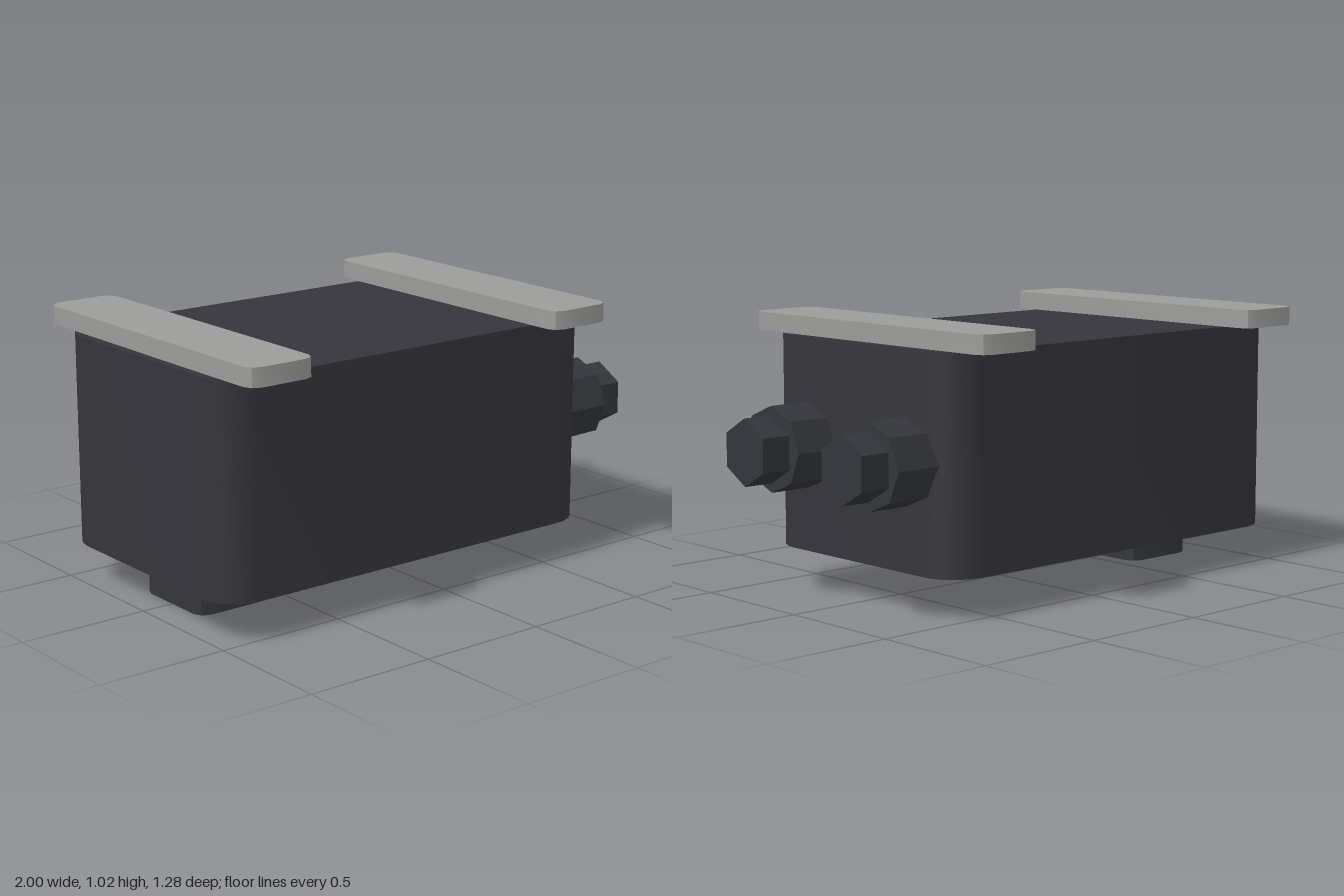
import * as THREE from 'three';
import { toCreasedNormals } from 'three/addons/utils/BufferGeometryUtils.js';

const mat = (name, color) => {
  const m = new THREE.MeshStandardMaterial({ color });
  m.name = name;
  return m;
};

// Upright block with rounded (or, with one segment, chamfered) vertical corners
function block(x0, x1, y0, y1, halfZ, r, segments) {
  const s = new THREE.Shape();
  s.moveTo(x0 + r, -halfZ);
  s.absarc(x1 - r, -halfZ + r, r, -Math.PI / 2, 0);
  s.absarc(x1 - r, halfZ - r, r, 0, Math.PI / 2);
  s.absarc(x0 + r, halfZ - r, r, Math.PI / 2, Math.PI);
  s.absarc(x0 + r, -halfZ + r, r, Math.PI, Math.PI * 1.5);
  const g = new THREE.ExtrudeGeometry(s, { depth: y1 - y0, bevelEnabled: false, curveSegments: segments });
  g.rotateX(-Math.PI / 2);
  g.translate(0, y0, 0);
  return toCreasedNormals(g, 0.6);
}

// Faceted prism along x with a corner pointing up
function prism(radius, sides, x0, x1) {
  const g = new THREE.CylinderGeometry(radius, radius, x1 - x0, sides, 1, false, Math.PI / 2);
  g.rotateZ(-Math.PI / 2);
  g.translate((x0 + x1) / 2, 0, 0);
  return toCreasedNormals(g, 0.3);
}

export function createModel() {
  const model = new THREE.Group();
  model.name = 'junctionBox';
  const dark = mat('dark housing', 0x36353b);
  const fitting = mat('dark fitting', 0x34363b);
  const grey = mat('grey bracket', 0x9c9c9a);

  const add = (parent, name, geometry, material) => {
    const mesh = new THREE.Mesh(geometry, material);
    mesh.name = name;
    parent.add(mesh);
  };

  // Housing and the chamfered plug beneath it
  add(model, 'housing', block(-1, 0.71, 0.15, 0.95, 0.515, 0.15, 4), dark);
  add(model, 'bottomPlug', block(-0.875, -0.56, 0, 0.15, 0.183, 0.046, 1), fitting);

  // Mounting bars across the top
  add(model, 'rightMountingBar', block(-0.968, -0.695, 0.95, 1.02, 0.64, 0.046, 1), grey);
  add(model, 'leftMountingBar', block(0.403, 0.676, 0.95, 1.02, 0.64, 0.046, 1), grey);

  // Two cable glands: octagonal nut with a hexagonal end
  for (const side of [-1, 1]) {
    const gland = new THREE.Group();
    gland.name = side > 0 ? 'frontGland' : 'backGland';
    gland.position.set(0, 0.55, side * 0.275);
    add(gland, 'nut', prism(0.16, 8, 0.66, 0.88), fitting);
    add(gland, 'endCap', prism(0.125, 6, 0.87, 1), fitting);
    model.add(gland);
  }
  return model;
}
